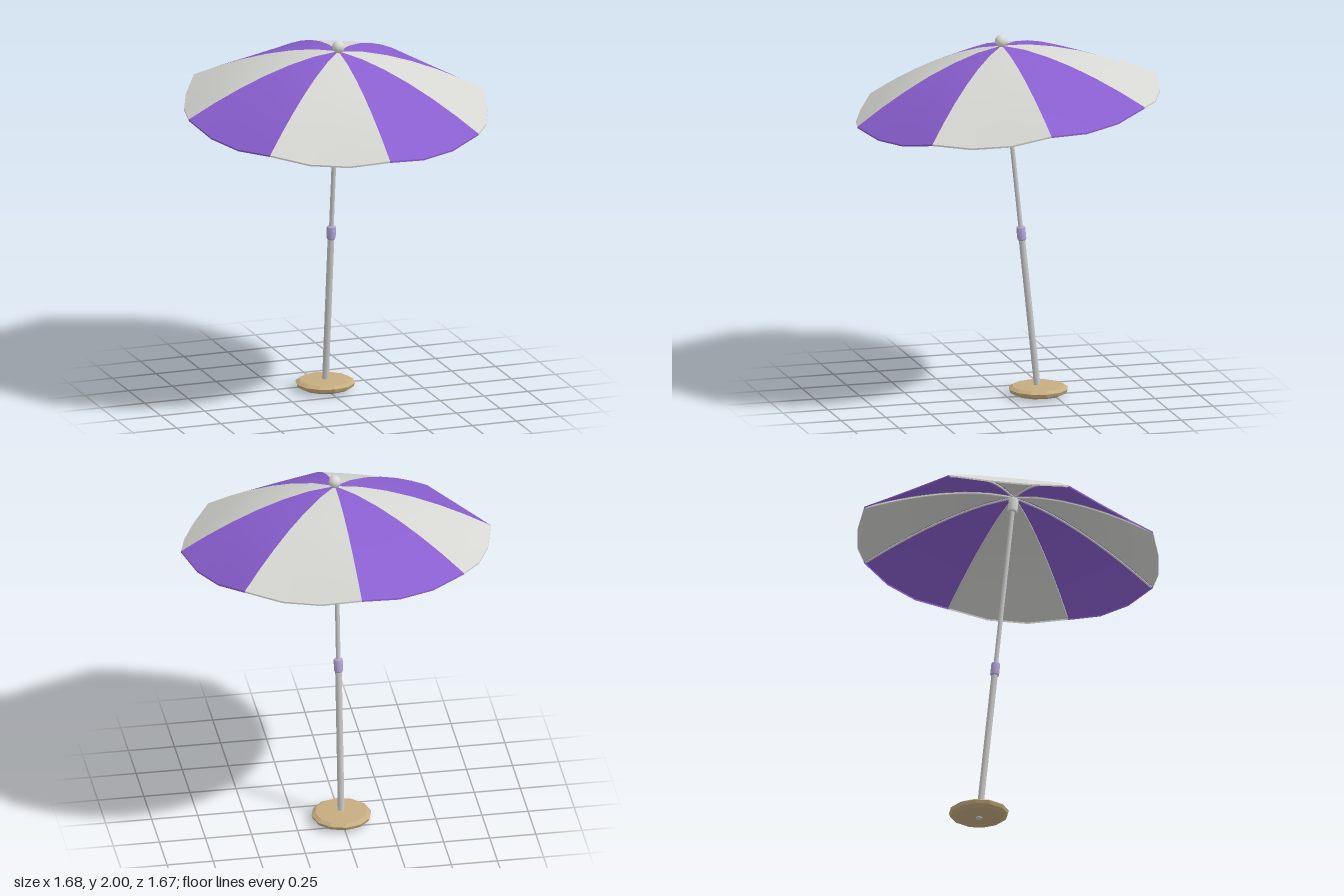
import * as THREE from 'three';

const RADIUS = 0.84, HEIGHT = 0.305, RIM_Y = 1.646, PANELS = 8, ROWS = 6, COLS = 3;

const mat = (name, color, side = THREE.FrontSide) => {
  const m = new THREE.MeshStandardMaterial({ color, side });
  m.name = name;
  return m;
};

// Height of the canopy ridge at a fraction t of its radius
const ridge = (t) => RIM_Y + HEIGHT * (1 - Math.pow(t, 1.6));

// Point on the canopy: t runs from apex to rim, s across one panel
function canopyPoint(panel, t, s) {
  const a = ((panel + s) / PANELS) * Math.PI * 2;
  const between = s > 0 && s < 1 ? 1 : 0;
  const r = RADIUS * t * (1 - 0.028 * between * t);
  return [r * Math.sin(a), ridge(t) - 0.028 * between * t * t, r * Math.cos(a)];
}

// Surface from a grid of points given by rule(row, col)
function gridGeometry(rows, cols, rule) {
  const pos = [], index = [];
  for (let i = 0; i <= rows; i++) for (let j = 0; j <= cols; j++) pos.push(...rule(i, j));
  for (let i = 0; i < rows; i++) for (let j = 0; j < cols; j++) {
    const a = i * (cols + 1) + j, b = a + cols + 1;
    index.push(a, b, b + 1, a, b + 1, a + 1);
  }
  const g = new THREE.BufferGeometry();
  g.setAttribute('position', new THREE.Float32BufferAttribute(pos, 3));
  g.setIndex(index);
  g.computeVertexNormals();
  return g;
}

export function createModel() {
  const model = new THREE.Group();
  model.name = 'parasol';

  const purple = mat('purple fabric', 0x8a5fd0, THREE.DoubleSide);
  const white = mat('off-white fabric', 0xd6d6d2, THREE.DoubleSide);
  const metal = mat('light metal', 0xcacaca);
  const knob = mat('white plastic', 0xdcdcd8);
  const lilac = mat('lilac plastic', 0xb4a8d8);
  const sand = mat('sand base', 0xc6ac80);

  const add = (parent, name, geometry, material, y = 0) => {
    const mesh = new THREE.Mesh(geometry, material);
    mesh.name = name;
    mesh.position.y = y;
    parent.add(mesh);
    return mesh;
  };

  // Flat foot, level with the ground
  const profile = [[0, 0.008], [0.13, 0.008], [0.155, 0.022], [0.162, 0.04], [0.14, 0.054], [0, 0.06]]
    .map(([x, y]) => new THREE.Vector2(x, y));
  const foot = new THREE.LatheGeometry(profile, 12).toNonIndexed();
  foot.computeVertexNormals();
  add(model, 'base', foot, sand).position.z = -0.172;

  // Everything on the pole leans forward together
  const leaning = new THREE.Group();
  leaning.name = 'leaningParasol';
  leaning.position.z = -0.172;
  leaning.rotation.x = THREE.MathUtils.degToRad(6);
  model.add(leaning);

  add(leaning, 'lowerPole', new THREE.CylinderGeometry(0.018, 0.018, 0.88, 10), metal, 0.442);
  add(leaning, 'upperPole', new THREE.CylinderGeometry(0.0125, 0.0125, 1.06, 10), metal, 1.41);

  // Rounded sleeves: pole clamp and rib hub
  const sleeve = (r, h) => new THREE.LatheGeometry(
    [[0, -h / 2], [r * 0.8, -h / 2], [r, -h / 2 + 0.008], [r, h / 2 - 0.008], [r * 0.8, h / 2], [0, h / 2]]
      .map(([x, y]) => new THREE.Vector2(x, y)), 10);
  add(leaning, 'poleClamp', sleeve(0.025, 0.076), lilac, 0.904);
  add(leaning, 'ribHub', sleeve(0.028, 0.08), knob, 1.895);
  add(leaning, 'finial', new THREE.SphereGeometry(0.035, 10, 6), knob, 1.976);

  // Canopy panels with a narrow hem, and a rib under each seam
  const canopy = new THREE.Group();
  canopy.name = 'canopy';
  leaning.add(canopy);
  for (let k = 0; k < PANELS; k++) {
    const fabric = k % 2 ? white : purple;
    add(canopy, 'canopyPanel', gridGeometry(ROWS, COLS, (i, j) => canopyPoint(k, i / ROWS, j / COLS)), fabric);
    add(canopy, 'canopyHem', gridGeometry(1, COLS, (i, j) => {
      const [x, y, z] = canopyPoint(k, 1, j / COLS);
      return [x, y - 0.009 * i, z];
    }), fabric);

    const points = [];
    for (let i = 0; i <= ROWS; i++) {
      const t = 0.02 + 0.97 * (i / ROWS);
      points.push(new THREE.Vector3(0, ridge(t) - 0.011, RADIUS * t));
    }
    const rib = new THREE.TubeGeometry(new THREE.CatmullRomCurve3(points), 12, 0.006, 5);
    add(canopy, 'rib', rib, metal).rotation.y = (k / PANELS) * Math.PI * 2;
  }
  return model;
}
